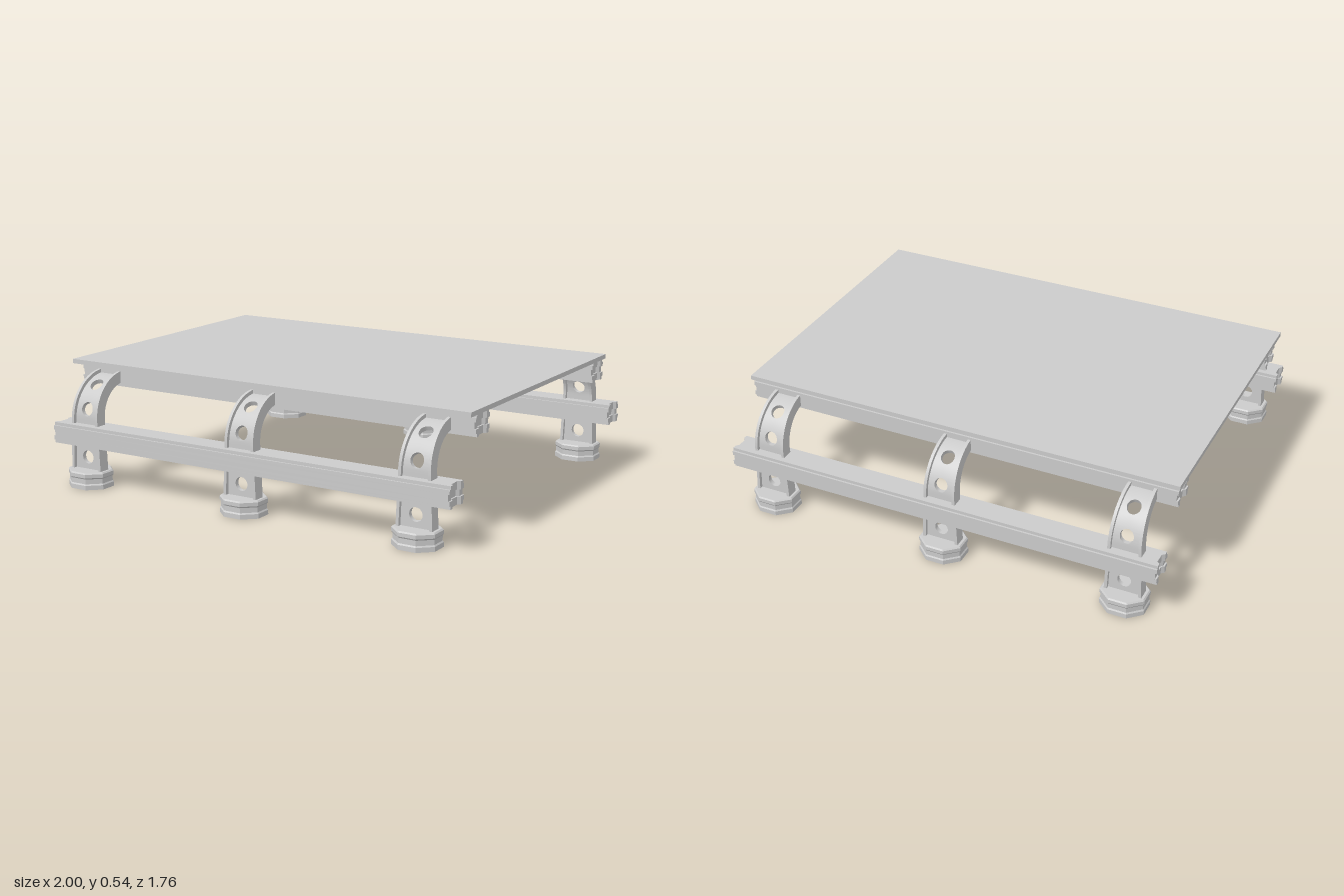
import * as THREE from 'three';
import { toCreasedNormals, mergeGeometries } from 'three/addons/utils/BufferGeometryUtils.js';

const grey = new THREE.MeshStandardMaterial({ color: 0xcccccc });
const LEG_X = [-0.84, -0.01, 0.82];
const LEG_Z = 0.795;

function part(name, geometry, x = 0, y = 0, z = 0) {
  const mesh = new THREE.Mesh(geometry, grey);
  mesh.name = name;
  mesh.position.set(x, y, z);
  return mesh;
}

// Rail: stacked layers, wider in the middle, with a shallow notch cut into each end
function railGeometry() {
  const layer = (y0, y1, halfZ, halfX) => {
    const n = 0.034, d = halfX - 0.012;
    const shape = new THREE.Shape([
      [-halfX, -halfZ], [halfX, -halfZ], [halfX, -n], [d, -n + 0.01], [d, n - 0.01], [halfX, n],
      [halfX, halfZ], [-halfX, halfZ], [-halfX, n], [-d, n - 0.01], [-d, -n + 0.01], [-halfX, -n],
    ].map(([x, z]) => new THREE.Vector2(x, z)));
    const g = new THREE.ExtrudeGeometry(shape, { depth: y1 - y0, bevelEnabled: false });
    return g.rotateX(-Math.PI / 2).translate(0, y0, 0);
  };
  return mergeGeometries([
    layer(-0.047, -0.033, 0.052, 0.992),
    layer(-0.033, -0.014, 0.06, 0.992),
    layer(-0.014, 0.014, 0.06, 0.985),
    layer(0.014, 0.033, 0.06, 0.992),
    layer(0.033, 0.047, 0.052, 0.992),
  ]);
}

// Octagonal foot with a slight waist, a little wider than deep
function footGeometry() {
  const k = 1 / Math.cos(Math.PI / 8);
  const points = [[0, 0], [0.09, 0], [0.09, 0.02], [0.086, 0.026], [0.086, 0.048],
    [0.09, 0.054], [0.09, 0.07], [0.085, 0.076], [0, 0.076]].map(([r, y]) => new THREE.Vector2(r * k, y));
  const g = new THREE.LatheGeometry(points, 8, Math.PI / 8);
  return toCreasedNormals(g.scale(1.09, 1, 0.98), 0.1);
}

// Leg centre line: straight up, a quarter bend inward, then level
const BASE = 0.07, STRAIGHT = 0.23, BEND = 0.17, ARC = BEND * Math.PI / 2, LENGTH = STRAIGHT + ARC + 0.04;
function legPoint(s, n) {
  if (s < STRAIGHT) return [BASE + s, LEG_Z + n];
  const a = Math.min((s - STRAIGHT) / BEND, Math.PI / 2);
  const over = Math.max(0, s - STRAIGHT - ARC);
  return [BASE + STRAIGHT + (BEND + n) * Math.sin(a), LEG_Z - BEND + (BEND + n) * Math.cos(a) - over];
}

// Bent channel with edge flanges; each half leaves room for the round holes
function legGeometry() {
  const R = 0.03, holes = [0.06, 0.275, 0.392];
  const stations = [];
  for (let i = 0; i <= 36; i++) {
    const s = LENGTH * i / 36;
    if (!holes.some(h => Math.abs(s - h) < R + 0.002)) stations.push(s);
  }
  for (const h of holes) {
    for (let i = 0; i <= 12; i++) stations.push(h - R * Math.cos(Math.PI * i / 12));
  }
  stations.sort((a, b) => a - b);
  const gap = s => {
    const h = holes.find(c => Math.abs(s - c) < R - 1e-6);
    return h === undefined ? 0 : Math.sqrt(R * R - (s - h) ** 2);
  };
  const positions = [];
  for (const side of [1, -1]) {
    const ring = s => {
      const w = 0.082 - 0.022 * s / LENGTH, f = w - 0.013, h = gap(s);
      return [[h, -0.01], [f, -0.01], [f, -0.026], [w, -0.026], [w, 0.026], [f, 0.026], [f, 0.01], [h, 0.01]]
        .map(([u, n]) => [side * u, ...legPoint(s, n)]);
    };
    const tri = (a, b, c) => positions.push(...a, ...(side > 0 ? [...b, ...c] : [...c, ...b]));
    for (let i = 0; i + 1 < stations.length; i++) {
      const a = ring(stations[i]), b = ring(stations[i + 1]);
      const solid = gap(stations[i]) + gap(stations[i + 1]) === 0;
      for (let j = 0; j < 8; j++) {
        if (j === 7 && solid) continue;
        const k = (j + 1) % 8;
        tri(a[j], b[j], b[k]);
        tri(a[j], b[k], a[k]);
      }
    }
  }
  const g = new THREE.BufferGeometry();
  g.setAttribute('position', new THREE.Float32BufferAttribute(positions, 3));
  return toCreasedNormals(g, 0.6);
}

export function createModel() {
  const model = new THREE.Group();
  model.name = 'platform';

  // Deck sheet and the flat cross bar that ties the upper rails at one end
  model.add(part('deck', new THREE.BoxGeometry(2, 0.02, 1.35), 0, 0.53, 0.025));
  model.add(part('crossBar', new THREE.BoxGeometry(0.1, 0.028, 1.06), 0.79, 0.472, 0));

  const rail = railGeometry(), foot = footGeometry(), leg = legGeometry();
  for (const [sideName, turn] of [['front', 0], ['back', Math.PI]]) {
    const side = new THREE.Group();
    side.name = sideName + 'Side';
    side.rotation.y = turn;
    side.add(part('lowerRail', rail, 0, 0.233, 0.793));
    side.add(part('upperRail', rail, 0, 0.473, 0.58));
    for (const legX of LEG_X) {
      const x = turn ? -legX : legX;
      side.add(part('leg', leg, x));
      side.add(part('foot', foot, x, 0, 0.79));
    }
    model.add(side);
  }
  return model;
}
